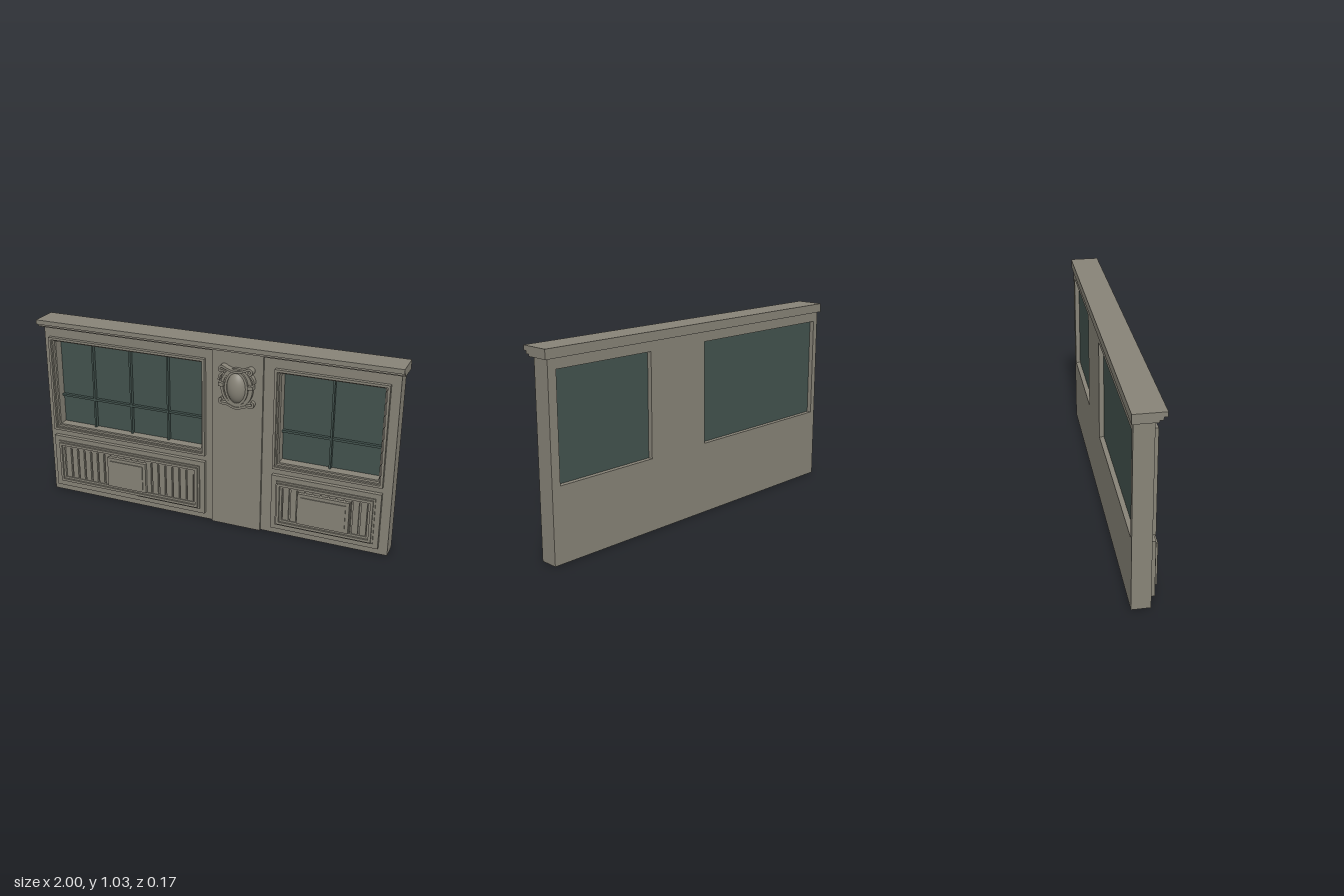
import * as THREE from 'three';

const stone = new THREE.MeshStandardMaterial({ color: 0x87837a });
stone.name = 'stone';
stone.color.set(0x878377);
const glass = new THREE.MeshStandardMaterial({ color: 0x43534e });
glass.name = 'glass';

function add(parent, name, geometry, material = stone) {
  const mesh = new THREE.Mesh(geometry, material);
  mesh.name = name;
  parent.add(mesh);
  return mesh;
}

// Box given by its limits
function block(parent, name, [x0, x1], [y0, y1], [z0, z1], material) {
  const mesh = add(parent, name, new THREE.BoxGeometry(x1 - x0, y1 - y0, z1 - z0), material);
  mesh.position.set((x0 + x1) / 2, (y0 + y1) / 2, (z0 + z1) / 2);
  return mesh;
}

function rect(Type, [x0, x1], [y0, y1], inset = 0) {
  const a = x0 + inset, b = x1 - inset, c = y0 + inset, d = y1 - inset;
  return new Type([[a, c], [b, c], [b, d], [a, d]].map(([x, y]) => new THREE.Vector2(x, y)));
}

function extrude(shape, z0, z1, curveSegments = 24) {
  const g = new THREE.ExtrudeGeometry(shape, { depth: z1 - z0, bevelEnabled: false, curveSegments });
  return g.translate(0, 0, z0);
}

// Rectangular frame between two insets of an outline
function frame(parent, name, xs, ys, from, to, z0, z1) {
  const shape = rect(THREE.Shape, xs, ys, from);
  shape.holes.push(rect(THREE.Path, xs, ys, to));
  return add(parent, name, extrude(shape, z0, z1));
}

// Flat band of constant width that follows a curve
function ribbon(parent, name, points, width, z0, z1) {
  const curve = new THREE.CatmullRomCurve3(points.map(([x, y]) => new THREE.Vector3(x, y, 0)));
  const left = [], right = [];
  for (let i = 0; i <= 32; i++) {
    const p = curve.getPoint(i / 32), t = curve.getTangent(i / 32);
    left.push(new THREE.Vector2(p.x - t.y * width / 2, p.y + t.x * width / 2));
    right.unshift(new THREE.Vector2(p.x + t.y * width / 2, p.y - t.x * width / 2));
  }
  return add(parent, name, extrude(new THREE.Shape([...left, ...right]), z0, z1));
}

function ovalRing(parent, name, rx, ry, width, z0, z1) {
  const shape = new THREE.Shape().absellipse(0, 0, rx, ry, 0, Math.PI * 2);
  shape.holes.push(new THREE.Path().absellipse(0, 0, rx - width, ry - width, 0, Math.PI * 2));
  return add(parent, name, extrude(shape, z0, z1));
}

const windowY = [0.385, 0.93];
const bays = [
  { side: 'right', xs: [-0.95, -0.025], bars: [-0.715, -0.487, -0.265], centre: [-0.605, -0.37] },
  { side: 'left', xs: [0.355, 0.935], bars: [0.645], centre: [0.505, 0.78] },
];

function createWindow({ side, xs, bars }) {
  const g = new THREE.Group();
  g.name = side + 'Window';
  // Stepped casing
  frame(g, 'outerCasing', xs, windowY, 0, 0.013, -0.04, 0.042);
  frame(g, 'middleCasing', xs, windowY, 0.013, 0.02, -0.04, 0.03);
  frame(g, 'innerCasing', xs, windowY, 0.02, 0.028, -0.04, 0.012);
  block(g, 'pane', xs, windowY, [-0.05, -0.04], glass);
  // Glazing bars
  const inX = [xs[0] + 0.028, xs[1] - 0.028], inY = [windowY[0] + 0.028, windowY[1] - 0.028];
  for (const x of bars) block(g, 'verticalBar', [x - 0.005, x + 0.005], inY, [-0.04, -0.018], glass);
  block(g, 'horizontalBar', inX, [0.57, 0.582], [-0.04, -0.022], glass);
  return g;
}

function createPanel({ side, xs, centre }) {
  const g = new THREE.Group();
  g.name = side + 'Panel';
  const ys = [0.04, 0.35];
  // Stepped border
  frame(g, 'border', xs, ys, 0, 0.062, 0.02, 0.043);
  frame(g, 'outerMoulding', xs, ys, 0.027, 0.062, 0.043, 0.05);
  frame(g, 'innerMoulding', xs, ys, 0.036, 0.05, 0.05, 0.06);
  // Vertical slats
  const a = xs[0] + 0.062, b = xs[1] - 0.062;
  const count = Math.round((b - a) / 0.042), pitch = (b - a) / count;
  block(g, 'slatBacking', [a, b], [0.1, 0.29], [0.02, 0.033]);
  for (let i = 0; i < count; i++) {
    const x = a + i * pitch;
    block(g, 'slat', [x + 0.005, x + pitch - 0.005], [0.1, 0.29], [0.033, 0.045]);
  }
  // Raised centre field
  block(g, 'centreBase', centre, [0.105, 0.28], [0.033, 0.063]);
  block(g, 'centreField', [centre[0] + 0.018, centre[1] - 0.018], [0.123, 0.262], [0.063, 0.068]);
  return g;
}

function createMedallion() {
  const g = new THREE.Group();
  g.name = 'medallion';
  g.position.set(0.157, 0.805, 0);
  // Oval rings and dome
  ovalRing(g, 'outerRing', 0.087, 0.105, 0.014, 0.03, 0.052);
  ovalRing(g, 'middleRing', 0.073, 0.097, 0.012, 0.03, 0.046);
  ovalRing(g, 'innerRing', 0.063, 0.092, 0.012, 0.03, 0.058);
  const dome = add(g, 'dome', new THREE.SphereGeometry(1, 32, 16, 0, Math.PI * 2, 0, Math.PI / 2).rotateX(Math.PI / 2));
  dome.scale.set(0.055, 0.085, 0.048);
  dome.position.z = 0.037;
  // Top and bottom scrolls
  ribbon(g, 'topScroll', [[-0.065, 0.092], [-0.08, 0.086], [-0.088, 0.1], [-0.075, 0.113], [-0.045, 0.1],
    [0, 0.09], [0.045, 0.1], [0.075, 0.113], [0.088, 0.1], [0.08, 0.086], [0.065, 0.092]], 0.012, 0.03, 0.07);
  ribbon(g, 'bottomScroll', [[-0.078, -0.068], [-0.09, -0.072], [-0.088, -0.09], [-0.055, -0.093],
    [0, -0.11], [0.055, -0.093], [0.088, -0.09], [0.09, -0.072], [0.078, -0.068]], 0.012, 0.03, 0.056);
  for (const s of [-1, 1]) {
    // Side clasps and leaves
    block(g, 'sideClasp', s < 0 ? [-0.094, -0.066] : [0.066, 0.094], [0.004, 0.024], [0.03, 0.07]);
    const leaf = [[s * 0.095, 0.035], [s * 0.088, 0.06], [s * 0.068, 0.08]];
    ribbon(g, 'leaf', s < 0 ? leaf : leaf.reverse(), 0.01, 0.03, 0.06);
  }
  return g;
}

export function createModel() {
  const model = new THREE.Group();
  model.name = 'shopfront';

  // Wall with window openings
  const wall = rect(THREE.Shape, [-0.982, 0.982], [0, 0.99]);
  for (const { xs } of bays) wall.holes.push(rect(THREE.Path, xs, windowY));
  add(model, 'wall', extrude(wall, -0.075, 0.02));
  block(model, 'pilaster', [0.015, 0.293], [0, 0.985], [0.02, 0.033]);

  // Stepped cornice
  block(model, 'corniceTop', [-1, 1], [1.006, 1.03], [-0.085, 0.07]);
  block(model, 'corniceMiddle', [-1, 1], [0.992, 1.006], [-0.085, 0.052]);
  block(model, 'corniceBottom', [-1, 1], [0.982, 0.992], [-0.085, 0.034]);

  for (const bay of bays) model.add(createWindow(bay), createPanel(bay));
  model.add(createMedallion());
  return model;
}
